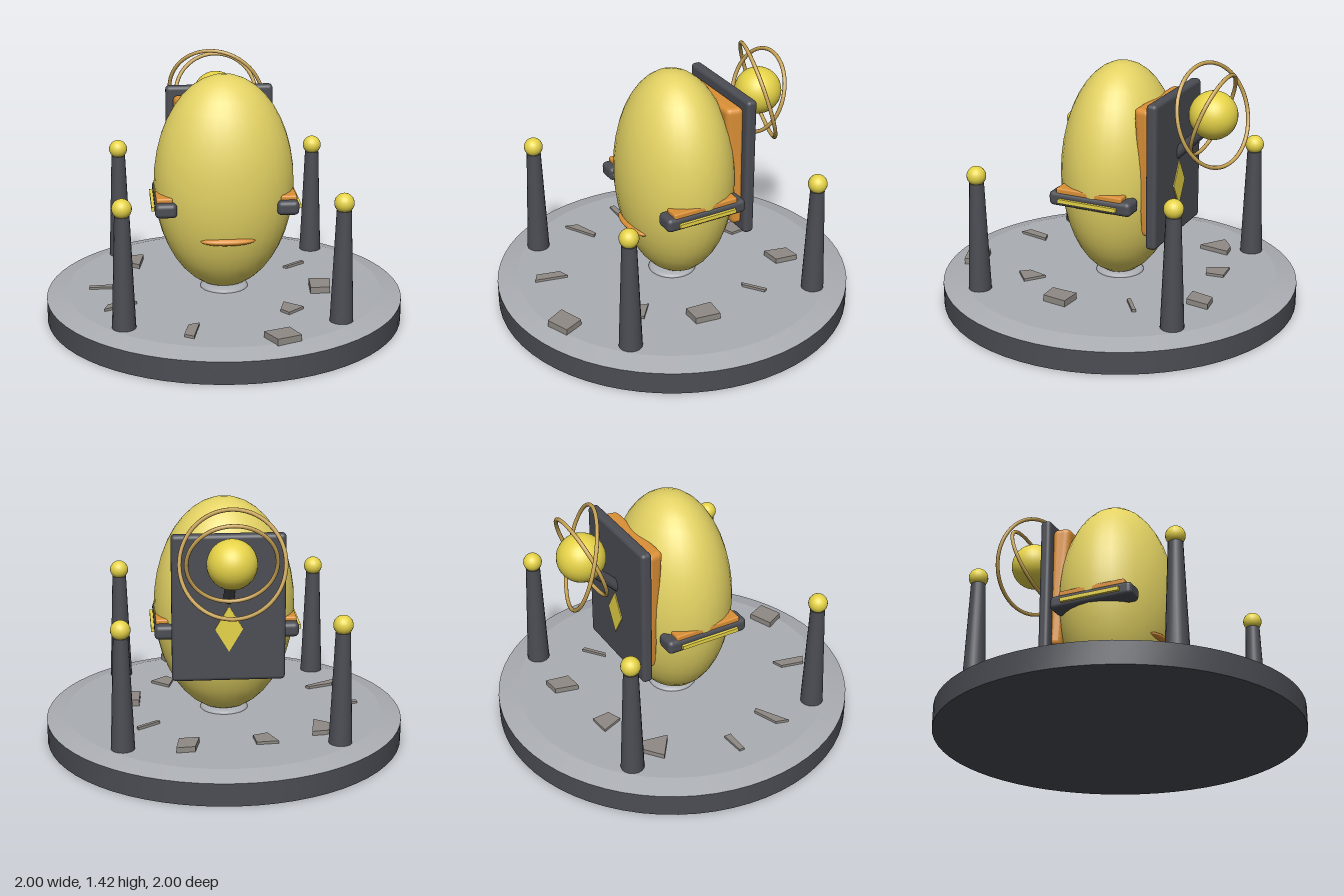
import * as THREE from 'three';
import { RoundedBoxGeometry } from 'three/addons/geometries/RoundedBoxGeometry.js';
import { toCreasedNormals } from 'three/addons/utils/BufferGeometryUtils.js';

const mat = (color) => new THREE.MeshStandardMaterial({ color });
const shell = mat(0xe3d263);
const yellow = mat(0xe6d348);
const orange = mat(0xdb9036);
const dark = mat(0x4b4d54);
const stone = mat(0xaaadb2);
const rubble = mat(0x8f8a85);
const brass = mat(0xc9a455);

// [x, z] outline corners, then thickness
const SHARDS = [
  [-0.61, -0.40, -0.52, -0.47, -0.44, -0.48, -0.47, -0.30, 0.025],
  [-0.25, -0.57, -0.13, -0.58, -0.12, -0.48, -0.20, -0.45, 0.015],
  [0.20, -0.65, 0.30, -0.66, 0.28, -0.53, 0.17, -0.52, 0.03],
  [0.37, -0.24, 0.49, -0.33, 0.50, -0.31, 0.39, -0.23, 0.015],
  [-0.76, -0.02, -0.62, -0.03, -0.62, 0.01, -0.76, 0.01, 0.012],
  [-0.66, 0.28, -0.52, 0.23, -0.50, 0.25, -0.68, 0.35, 0.015],
  [-0.24, 0.60, -0.18, 0.58, -0.22, 0.76, -0.27, 0.73, 0.015],
  [0.14, 0.77, 0.28, 0.72, 0.33, 0.83, 0.20, 0.88, 0.033],
  [0.30, 0.32, 0.40, 0.40, 0.31, 0.48, 0.27, 0.43, 0.015],
  [0.48, 0.03, 0.60, 0.04, 0.58, 0.18, 0.47, 0.18, 0.036],
];

export function createModel() {
  const model = new THREE.Group();
  model.name = 'eggMonument';

  const add = (name, geometry, material, x = 0, y = 0, z = 0, parent = model) => {
    const mesh = new THREE.Mesh(geometry, material);
    mesh.name = name;
    mesh.position.set(x, y, z);
    parent.add(mesh);
    return mesh;
  };
  const ellipsoid = (rx, ry, rz, w = 32, h = 20) =>
    new THREE.SphereGeometry(1, w, h).scale(rx, ry, rz);
  const creased = (geometry) => toCreasedNormals(geometry, 0.6);

  // Round plinth with a bevelled stone top
  add('plinth', creased(new THREE.CylinderGeometry(1, 1, 0.125, 64)), dark, 0, 0.0625, 0);
  add('plinthTop', new THREE.CylinderGeometry(0.885, 1, 0.03, 64), stone, 0, 0.14, 0);
  add('eggFoot', ellipsoid(0.135, 0.03, 0.135, 32, 12), stone, 0, 0.155, 0);

  // Egg body and mouth
  add('eggBody', ellipsoid(0.39, 0.61, 0.32), shell, 0, 0.765, -0.01);
  add('mouth', ellipsoid(0.15, 0.025, 0.05, 24, 12), orange, 0, 0.505, 0.25);

  // Side arms with a cushion above and a bright strip outside
  for (const side of [1, -1]) {
    const arm = new THREE.Group();
    arm.name = side > 0 ? 'leftArm' : 'rightArm';
    model.add(arm);
    add('armRest', new RoundedBoxGeometry(0.12, 0.08, 0.485, 3, 0.025), dark, side * 0.333, 0.675, 0, arm);
    add('armPad', new RoundedBoxGeometry(0.09, 0.035, 0.39, 2, 0.01), orange, side * 0.34, 0.72, 0.005, arm);
    add('armStrip', new THREE.BoxGeometry(0.02, 0.022, 0.345), yellow, side * 0.4, 0.672, 0.005, arm);
  }

  // Back cushion, thicker toward the top and narrower toward its front
  const cushion = new RoundedBoxGeometry(0.54, 0.715, 0.1, 3, 0.03);
  const p = cushion.attributes.position;
  for (let i = 0; i < p.count; i++) {
    const front = p.getZ(i) / 0.1 + 0.5;
    const low = 0.5 - p.getY(i) / 0.715;
    p.setX(i, p.getX(i) * (1 - 0.07 * front));
    p.setZ(i, p.getZ(i) - 0.05 * front * low);
  }
  cushion.computeVertexNormals();
  add('backCushion', cushion, orange, 0, 0.842, -0.245);
  add('backPanel', new RoundedBoxGeometry(0.61, 0.81, 0.062, 3, 0.022), dark, 0, 0.84, -0.323);

  // Diamond inlay on the rear of the panel
  const diamond = new THREE.Shape();
  diamond.moveTo(0, 0.127).lineTo(-0.075, 0).lineTo(0, -0.127).lineTo(0.075, 0);
  diamond.closePath();
  add('backDiamond', new THREE.ExtrudeGeometry(diamond, { depth: 0.012, bevelEnabled: false }),
    yellow, 0, 0.73, -0.36);

  // Strut carrying the orb and its two rings
  const strutPath = new THREE.LineCurve3(new THREE.Vector3(0, 0.89, -0.335), new THREE.Vector3(0, 1.1, -0.55));
  add('orbStrut', new THREE.TubeGeometry(strutPath, 1, 0.03, 12), dark);
  add('orb', new THREE.SphereGeometry(0.132, 32, 20), yellow, 0, 1.14, -0.55);
  add('outerRing', new THREE.TorusGeometry(0.28, 0.011, 8, 64), brass, 0, 1.14, -0.55).rotation.set(0.3, -0.3, 0);
  add('innerRing', new THREE.TorusGeometry(0.235, 0.011, 8, 64), brass, 0, 1.14, -0.55).rotation.set(-0.35, 0, 0);

  // Four tapered corner posts
  for (const x of [-0.577, 0.577]) {
    for (const z of [-0.577, 0.577]) {
      const post = new THREE.Group();
      post.name = 'cornerPost';
      post.position.set(x, 0, z);
      model.add(post);
      add('postShaft', creased(new THREE.CylinderGeometry(0.04, 0.064, 0.62, 16)), dark, 0, 0.46, 0, post);
      add('postBall', new THREE.SphereGeometry(0.053, 20, 14), yellow, 0, 0.81, 0, post);
    }
  }

  // Broken slabs scattered on the plinth
  for (const s of SHARDS) {
    const corners = [0, 2, 4, 6].map((i) => new THREE.Vector2(s[i], -s[i + 1]));
    const slab = new THREE.ExtrudeGeometry(new THREE.Shape(corners), { depth: s[8] + 0.005, bevelEnabled: false });
    slab.rotateX(-Math.PI / 2);
    add('shard', slab, rubble, 0, 0.15, 0);
  }

  return model;
}
